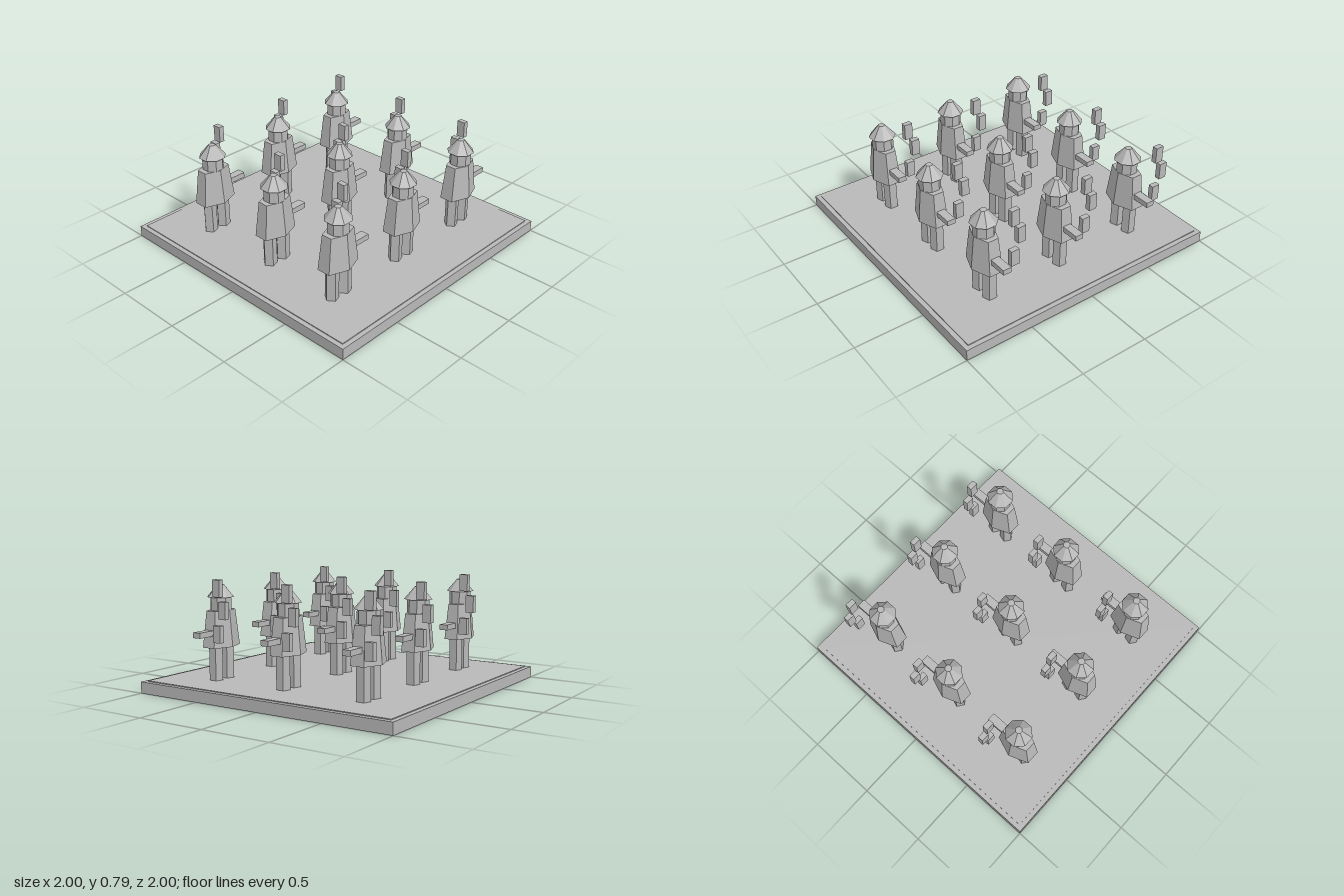
import * as THREE from 'three';

const grey = new THREE.MeshStandardMaterial({ color: 0xb8b8b8 });
grey.name = 'stone grey';
grey.flatShading = true;

function add(parent, name, geometry, x, y, z) {
  const mesh = new THREE.Mesh(geometry, grey);
  mesh.name = name;
  mesh.position.set(x, y, z);
  parent.add(mesh);
  return mesh;
}

// Box given by its minimum and maximum corners
function box(parent, name, [x0, y0, z0], [x1, y1, z1]) {
  return add(parent, name, new THREE.BoxGeometry(x1 - x0, y1 - y0, z1 - z0),
    (x0 + x1) / 2, (y0 + y1) / 2, (z0 + z1) / 2);
}

// Upright prism or frustum with one flat side facing +x
function prism(parent, name, sides, rTop, rBottom, y0, y1, x = 0) {
  const start = Math.PI / 2 + Math.PI / sides;
  const geometry = new THREE.CylinderGeometry(rTop, rBottom, y1 - y0, sides, 1, false, start);
  return add(parent, name, geometry, x, (y0 + y1) / 2, 0);
}

function createFigure() {
  const figure = new THREE.Group();
  figure.name = 'figure';

  // Five-sided legs
  prism(figure, 'rightLeg', 5, 0.048, 0.048, 0.08, 0.33, -0.058);
  prism(figure, 'leftLeg', 5, 0.048, 0.048, 0.08, 0.33, 0.058);

  // Flattened six-sided coat, octagonal head and hat
  prism(figure, 'coat', 6, 0.12, 0.155, 0.315, 0.565).scale.z = 0.645;
  prism(figure, 'head', 8, 0.075, 0.075, 0.56, 0.66);
  prism(figure, 'hat', 8, 0.024, 0.095, 0.655, 0.74);

  // Outstretched arm
  box(figure, 'arm', [0.09, 0.398, -0.03], [0.25, 0.436, 0.03]);

  // Loose blocks beside the shoulder
  box(figure, 'lowerBlock', [0.142, 0.366, -0.144], [0.18, 0.482, -0.084]);
  box(figure, 'middleBlock', [0.142, 0.527, -0.193], [0.18, 0.645, -0.134]);
  box(figure, 'upperBlock', [0.142, 0.674, -0.144], [0.18, 0.79, -0.084]);
  return figure;
}

export function createModel() {
  const model = new THREE.Group();
  model.name = 'figuresOnBoard';

  // Board with a slightly raised, inset top
  box(model, 'board', [-1, 0, -1], [1, 0.08, 1]);
  box(model, 'boardTop', [-0.967, 0.07, -0.967], [0.967, 0.086, 0.967]);

  // Three rows of three figures
  for (const z of [-0.595, 0.025, 0.6]) {
    for (const x of [-0.62, 0, 0.62]) {
      const figure = createFigure();
      figure.position.set(x, 0, z);
      model.add(figure);
    }
  }
  return model;
}
